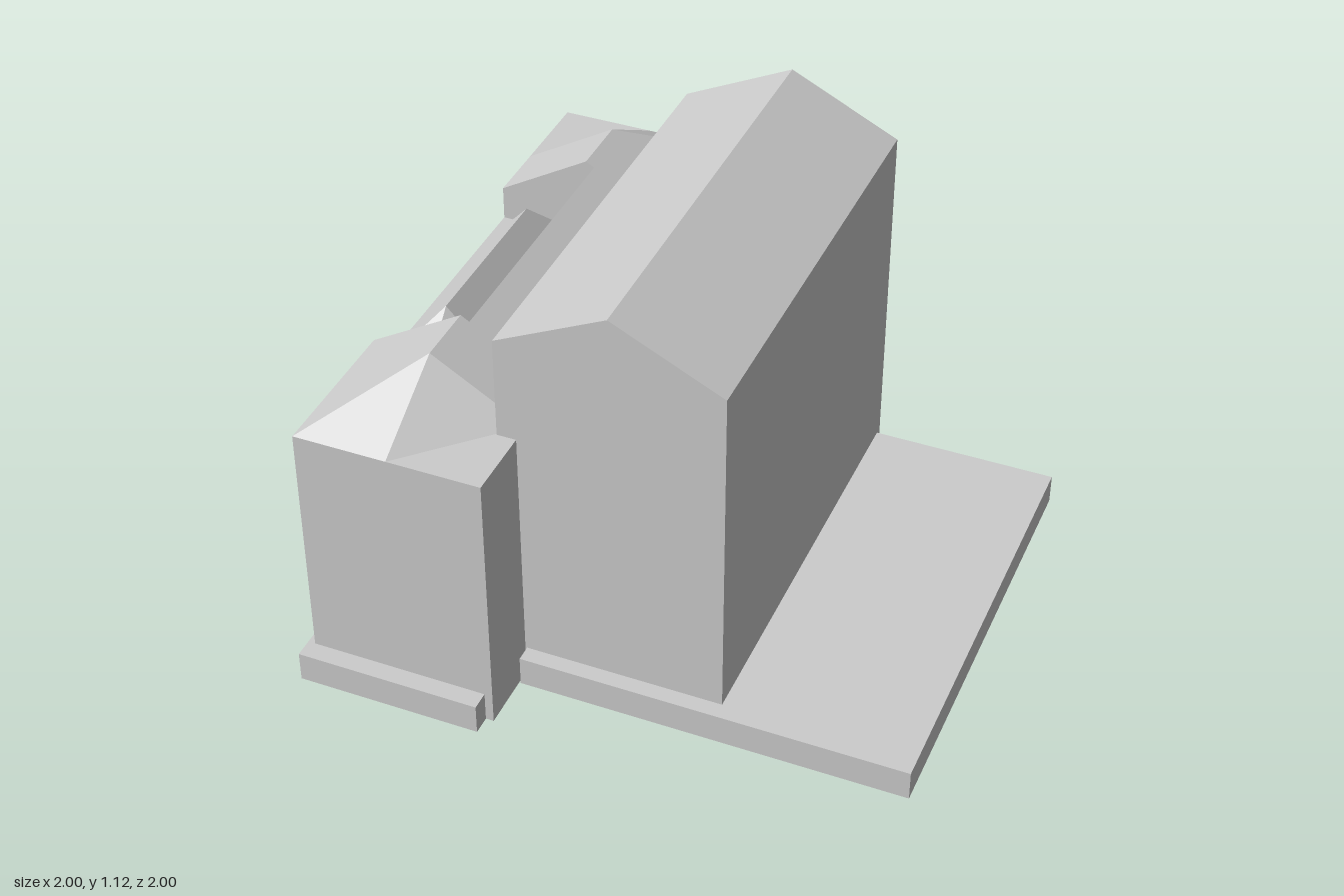
import * as THREE from 'three';

// Plans are drawn in diagonal units: p = x + z, q = z - x.
const S = Math.SQRT1_2;
const UP = new THREE.Vector3(0, 1, 0);
const stone = new THREE.MeshStandardMaterial({ color: 0xcccccc });
stone.name = 'light grey';

function add(parent, name, geometry) {
  const mesh = new THREE.Mesh(geometry, stone);
  mesh.name = name;
  parent.add(mesh);
}

// Upright block over a rectangular plan
function block(p0, p1, q0, q1, h) {
  return new THREE.BoxGeometry((p1 - p0) * S, h, (q1 - q0) * S)
    .translate((p0 + p1) / 2 * S, h / 2, (q0 + q1) / 2 * S);
}

// Upright solid over any plan outline of [p, q] points
function prism(outline, h) {
  const shape = new THREE.Shape(outline.map(([p, q]) => new THREE.Vector2(p * S, -q * S)));
  return new THREE.ExtrudeGeometry(shape, { depth: h, bevelEnabled: false }).rotateX(-Math.PI / 2);
}

// Flat convex faces of [p, y, q] corners, each turned towards its given direction
function faces(list) {
  const out = [];
  for (const [poly, toward] of list) {
    const v = poly.map(([p, y, q]) => new THREE.Vector3(p * S, y, q * S));
    for (let i = 1; i < v.length - 1; i++) {
      const [a, b, c] = [v[0], v[i], v[i + 1]];
      const n = b.clone().sub(a).cross(c.clone().sub(a));
      const tri = n.dot(toward) < 0 ? [a, c, b] : [a, b, c];
      tri.forEach(t => out.push(t.x, t.y, t.z));
    }
  }
  const g = new THREE.BufferGeometry();
  g.setAttribute('position', new THREE.Float32BufferAttribute(out, 3));
  g.computeVertexNormals();
  return g;
}

// Ridge roof with skewed hips; each end leaves a flat corner triangle.
// An optional notch {p, q0, q1} cuts through the back slope and ridge.
function skewRoof(p0, p1, q0, q1, y, rise, notch) {
  const m = (p0 + p1) / 2, inset = m - p0, t = y + rise;
  const qa = q0 + inset, qb = q1 - inset;
  const Ra = [m, t, qa], Rb = [m, t, qb];
  const list = [
    [[p0, y, q1], [m, y, q1], Rb],
    [[m, y, q1], [p1, y, qb], Rb],
    [[m, y, q0], [p1, y, q0], Ra],
    [[p0, y, qa], [m, y, q0], Ra],
  ].map(f => [f, UP]);
  const n0 = notch ? notch.q0 : 0, n1 = notch ? notch.q1 : 0;
  // Long slopes, split at the notch
  list.push(
    [[[p0, y, qa], Ra, [m, t, n0], [p0, y, n0]], UP],
    [[[p0, y, q1], Rb, [m, t, n1], [p0, y, n1]], UP],
    [[[p1, y, q0], Ra, [m, t, n0], [p1, y, n0]], UP],
    [[[p1, y, qb], Rb, [m, t, n1], [p1, y, n1]], UP],
  );
  if (notch) {
    const np = notch.p, ny = t - rise * (np - m) / (p1 - m);
    list.push(
      [[[np, ny, n0], [np, ny, n1], [p1, y, n1], [p1, y, n0]], UP],
      [[[np, y, n0], [np, ny, n0], [np, ny, n1], [np, y, n1]], new THREE.Vector3(-1, 0, 0)],
    );
    for (const [q, dir] of [[n0, 1], [n1, -1]])
      list.push([[[p0, y, q], [m, t, q], [np, ny, q], [np, y, q]], new THREE.Vector3(0, 0, dir)]);
  }
  return faces(list);
}

export function createModel() {
  const model = new THREE.Group();
  model.name = 'building';
  const plan = new THREE.Group();
  plan.name = 'diagonalPlan';
  plan.rotation.y = -Math.PI / 4;
  model.add(plan);

  // Low plinths
  add(plan, 'hallPlinth', block(-0.21, 1.185, -0.81, 0.82, 0.08));
  add(plan, 'wingPlinth', block(-0.912, -0.245, -1.08, 1.088, 0.08));

  // Tall hall: gabled section extruded along the ridge
  const gable = new THREE.Shape([[-0.285, 0], [0.505, 0], [0.505, 0.985], [0.11, 1.12], [-0.285, 0.985]]
    .map(([p, y]) => new THREE.Vector2(p * S, y)));
  add(plan, 'hall', new THREE.ExtrudeGeometry(gable, { depth: 1.6 * S, bevelEnabled: false })
    .translate(0, 0, -0.84 * S));

  // Long rear wing, notched in the middle of its back
  const [p0, p1, q0, q1] = [-0.886, -0.216, -1.112, 1.02];
  const notch = { p: -0.52, q0: -0.545, q1: 0.46 };
  add(plan, 'wingWalls', prism([
    [p0, q0], [p1, q0], [p1, q1], [p0, q1],
    [p0, notch.q1], [notch.p, notch.q1], [notch.p, notch.q0], [p0, notch.q0],
  ], 0.72));
  add(plan, 'wingRoof', skewRoof(p0, p1, q0, q1, 0.72, 0.14, notch));

  // Lower middle bay standing in the notch
  add(plan, 'bayWalls', block(p0, notch.p, notch.q0, notch.q1, 0.63));
  add(plan, 'bayRoof', skewRoof(p0, notch.p, notch.q0, notch.q1, 0.63, 0.14));

  return model;
}
